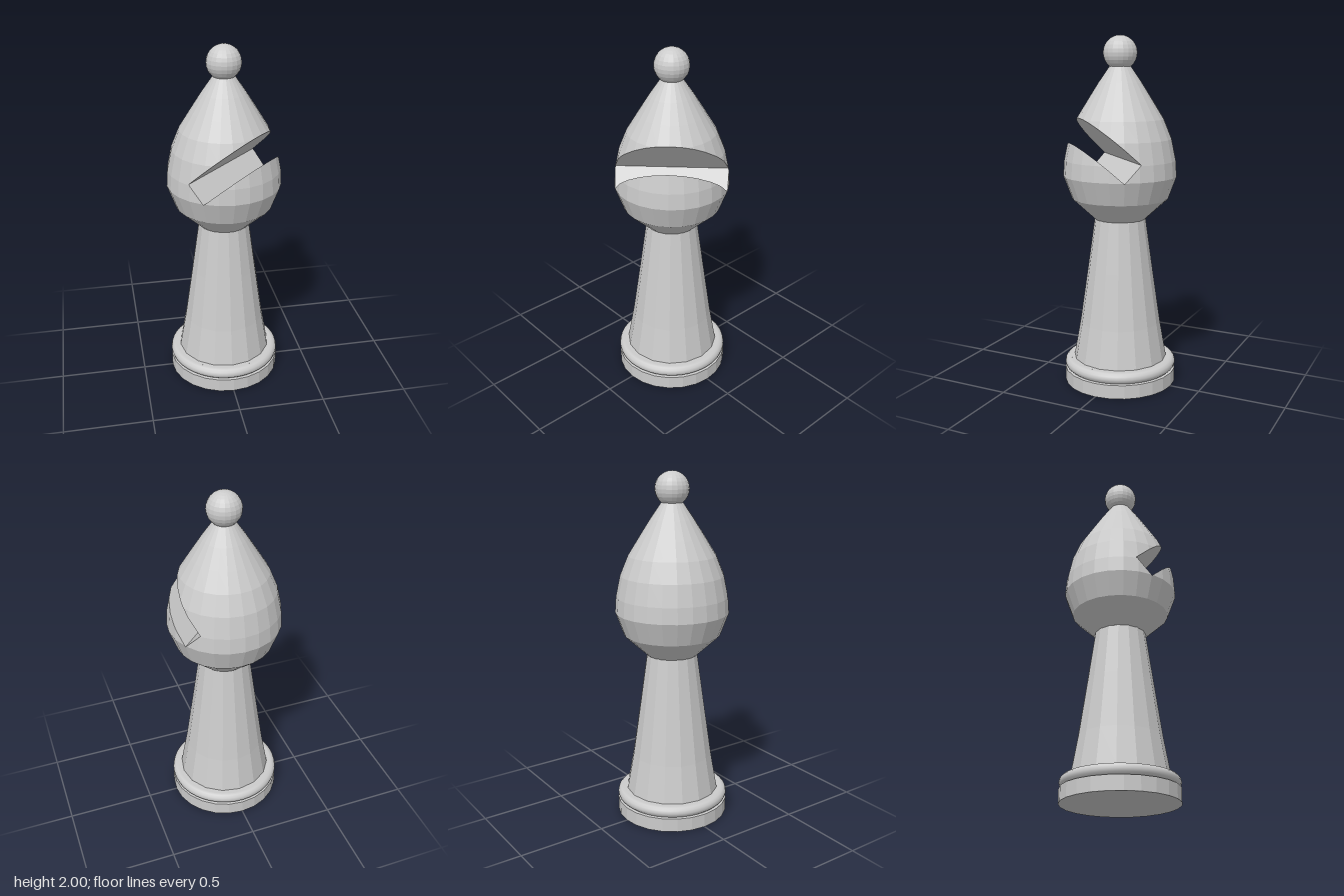
import * as THREE from 'three';

const flat = () => new THREE.MeshStandardMaterial({ color: 0xcccccc, flatShading: true, side: THREE.DoubleSide });

function addMesh(group, name, geometry, material = flat()) {
  const mesh = new THREE.Mesh(geometry, material);
  mesh.name = name;
  group.add(mesh);
  return mesh;
}

const lathe = (points, sides) =>
  new THREE.LatheGeometry(points.map(([r, y]) => new THREE.Vector2(r, y)), sides);

// Cut a convex polygon along a plane; returns the parts in front of and behind it
function split(polygon, plane) {
  const front = [], back = [];
  polygon.forEach((p, i) => {
    const q = polygon[(i + 1) % polygon.length];
    const dp = plane.distanceToPoint(p), dq = plane.distanceToPoint(q);
    if (dp >= 0) front.push(p);
    if (dp <= 0) back.push(p);
    if (dp * dq < 0) {
      const cut = p.clone().lerp(q, dp / (dp - dq));
      front.push(cut);
      back.push(cut);
    }
  });
  return [front, back];
}

// Remove the wedge in front of all planes from a convex solid and close the cut with flat faces
function carve(geometry, planes) {
  const source = geometry.toNonIndexed().attributes.position;
  const out = [], rims = planes.map(() => []);
  const emit = (poly) => {
    for (let i = 1; i + 1 < poly.length; i++) out.push(poly[0], poly[i], poly[i + 1]);
  };
  for (let i = 0; i < source.count; i += 3) {
    let inside = [0, 1, 2].map((k) => new THREE.Vector3().fromBufferAttribute(source, i + k));
    for (const plane of planes) {
      const [front, back] = split(inside, plane);
      if (back.length > 2) emit(back);
      inside = front;
      if (inside.length < 3) break;
    }
    if (inside.length < 3) continue;
    planes.forEach((plane, k) => {
      for (const p of inside) {
        const isNew = rims[k].every((q) => q.distanceTo(p) > 1e-4);
        if (isNew && Math.abs(plane.distanceToPoint(p)) < 1e-5) rims[k].push(p);
      }
    });
  }
  // Cut faces: rim points ordered around their centre
  planes.forEach(({ normal }, k) => {
    const t = new THREE.Vector3(1, 0, -1).normalize();
    const b = normal.clone().cross(t);
    const centre = rims[k].reduce((s, p) => s.add(p), new THREE.Vector3()).divideScalar(rims[k].length);
    const angle = (p) => {
      const d = p.clone().sub(centre);
      return Math.atan2(d.dot(b), d.dot(t));
    };
    emit(rims[k].sort((p, q) => angle(p) - angle(q)));
  });
  const result = new THREE.BufferGeometry().setFromPoints(out);
  result.computeVertexNormals();
  return result;
}

export function createModel() {
  const group = new THREE.Group();

  // Base disc and the rounded ring on top of it
  addMesh(group, 'baseDisc', new THREE.CylinderGeometry(0.325, 0.325, 0.08, 24)).position.y = 0.04;
  const ring = addMesh(group, 'baseRing', new THREE.TorusGeometry(0.292, 0.033, 12, 48),
    new THREE.MeshStandardMaterial({ color: 0xcccccc }));
  ring.rotation.x = Math.PI / 2;
  ring.position.y = 0.112;
  addMesh(group, 'baseTop', new THREE.CylinderGeometry(0.292, 0.292, 0.065, 24)).position.y = 0.112;

  // Tapering column
  addMesh(group, 'column', lathe([[0.275, 0.1], [0.27, 0.15], [0.233, 0.36], [0.187, 0.68], [0.145, 0.98]], 16));

  // Head with a slanted slot opening towards the front left
  const head = lathe([[0, 0.97], [0.145, 0.97], [0.275, 1.09], [0.323, 1.22], [0.317, 1.31],
    [0.292, 1.43], [0.247, 1.54], [0.185, 1.64], [0.122, 1.74], [0.06, 1.83], [0, 1.83]], 24);
  const slope = THREE.MathUtils.degToRad(43), halfGap = 0.068;
  const outward = (u, y) => new THREE.Vector3(u * Math.SQRT1_2, y, u * Math.SQRT1_2);
  const along = outward(Math.cos(slope), Math.sin(slope));
  const up = outward(-Math.sin(slope), Math.cos(slope));
  const innerEnd = outward(0.037, 1.265);
  const plane = (normal, point) => new THREE.Plane().setFromNormalAndCoplanarPoint(normal, point);
  const slot = [
    plane(along, innerEnd),
    plane(up, innerEnd.clone().addScaledVector(up, -halfGap)),
    plane(up.clone().negate(), innerEnd.clone().addScaledVector(up, halfGap)),
  ];
  addMesh(group, 'slottedHead', carve(head, slot));

  // Ball finial
  addMesh(group, 'finial', new THREE.SphereGeometry(0.096, 20, 14)).position.y = 1.904;

  return group;
}
